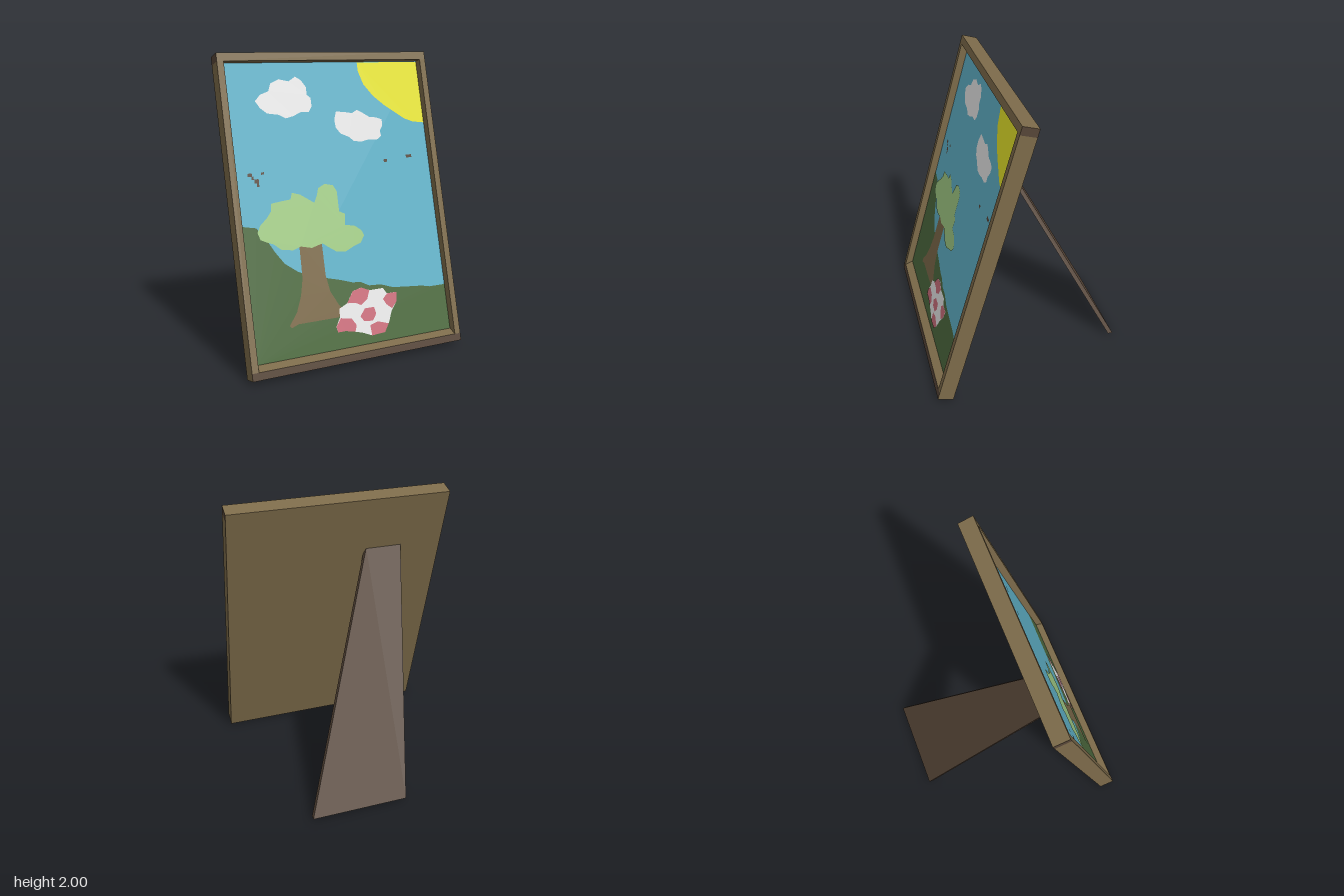
import * as THREE from 'three';

const mat = (name, color) => {
  const m = new THREE.MeshStandardMaterial({ color });
  m.name = name;
  return m;
};

export function createModel() {
  const wood = mat('oliveWood', 0x7d6b4a);
  const brown = mat('darkBrown', 0x574638);
  const sky = mat('skyBlue', 0x60b2c9);
  const white = mat('cloudWhite', 0xf8f8f8);
  const yellow = mat('sunYellow', 0xe6e42a);
  const grass = mat('grassGreen', 0x4d6b3f);
  const leaf = mat('leafGreen', 0xa2cc86);
  const pink = mat('blanketPink', 0xcc6f7c);

  const model = new THREE.Group();
  model.name = 'pictureStand';

  // Leaning frame: local origin is the bottom back edge
  const LEAN = 0.283, W = 0.77, H = 2.05, D = 0.11, PANEL = 0.058;
  const IN = 0.725, BOTTOM = 0.049, TOP = H - 0.055;
  const frame = new THREE.Group();
  frame.name = 'frame';
  frame.rotation.x = -LEAN;
  frame.position.z = 0.595;
  model.add(frame);

  const add = (name, geometry, material, parent = frame) => {
    const mesh = new THREE.Mesh(geometry, material);
    mesh.name = name;
    parent.add(mesh);
    return mesh;
  };
  const block = (name, x0, x1, y0, y1, depth, material) => {
    const mesh = add(name, new THREE.BoxGeometry(x1 - x0, y1 - y0, depth), material);
    mesh.position.set((x0 + x1) / 2, (y0 + y1) / 2, depth / 2);
  };

  // Rails and backing panel; face order is +x, -x, +y, -y, +z, -z
  block('topRail', -W, W, TOP, H, D, [brown, brown, wood, wood, wood, wood]);
  block('bottomRail', -W, W, 0, BOTTOM, D, [wood, wood, wood, wood, brown, wood]);
  block('leftRail', IN, W, BOTTOM, TOP, D, wood);
  block('rightRail', -W, -IN, BOTTOM, TOP, D, wood);
  block('backPanel', -IN, IN, BOTTOM, TOP, PANEL, [wood, wood, wood, wood, sky, wood]);

  // Sloping sill from the bottom rail up to the picture
  const sillShape = new THREE.Shape([
    new THREE.Vector2(-D, BOTTOM), new THREE.Vector2(-PANEL, BOTTOM), new THREE.Vector2(-PANEL, 0.087),
  ]);
  const sill = add('sill', new THREE.ExtrudeGeometry(sillShape, { depth: 2 * IN, bevelEnabled: false }), wood);
  sill.rotation.y = Math.PI / 2;
  sill.position.x = -IN;

  // Painted pieces: flat outlines given as upright x, y pairs, laid on the panel
  const paint = (name, layer, material, pts) => {
    const shape = new THREE.Shape();
    for (let i = 0; i < pts.length; i += 2) {
      const y = (pts[i + 1] - PANEL * Math.sin(LEAN)) / Math.cos(LEAN);
      if (i) shape.lineTo(pts[i], y); else shape.moveTo(pts[i], y);
    }
    add(name, new THREE.ShapeGeometry(shape), material).position.z = PANEL + layer * 0.0015;
  };

  paint('hill', 1, grass, [-.724, .93, -.62, .91, -.56, .835, -.51, .75, -.455, .675, -.37, .615, -.28, .575,
    -.17, .55, -.07, .525, .01, .5, .07, .495, .13, .465, .22, .46, .31, .43, .42, .42, .54, .41, .6, .397,
    .724, .397, .724, .09, -.724, .09]);
  paint('sun', 1, yellow, [.245, 1.927, .245, 1.87, .275, 1.78, .34, 1.7, .42, 1.635, .51, 1.577, .565, 1.54,
    .635, 1.515, .724, 1.505, .724, 1.927]);
  paint('leftCloud', 1, white, [-.53, 1.69, -.49, 1.73, -.43, 1.75, -.41, 1.8, -.35, 1.825, -.28, 1.81,
    -.23, 1.84, -.19, 1.815, -.16, 1.77, -.16, 1.72, -.135, 1.7, -.135, 1.645, -.16, 1.61, -.22, 1.61,
    -.275, 1.587, -.33, 1.575, -.38, 1.6, -.455, 1.61, -.5, 1.645]);
  paint('rightCloud', 1, white, [.02, 1.55, .04, 1.605, .1, 1.6, .16, 1.59, .2, 1.61, .24, 1.59, .29, 1.56,
    .34, 1.555, .385, 1.54, .385, 1.5, .36, 1.465, .365, 1.43, .33, 1.407, .26, 1.41, .21, 1.4, .15, 1.405,
    .115, 1.435, .055, 1.46, .025, 1.5]);
  paint('treeTrunk', 2, wood, [-.34, .8, -.345, .57, -.37, .465, -.41, .37, -.47, .295, -.455, .28, -.41, .297,
    -.12, .297, -.09, .35, -.11, .375, -.16, .465, -.18, .57, -.18, .8]);
  paint('treeCrown', 3, leaf, [-.615, .88, -.59, .925, -.545, .96, -.51, 1, -.5, 1.05, -.42, 1.06, -.365, 1.065,
    -.35, 1.105, -.295, 1.09, -.255, 1.065, -.2, 1.03, -.175, 1.075, -.16, 1.12, -.11, 1.143, -.05, 1.13,
    -.027, 1.09, -.027, .96, .015, .94, .005, .87, .075, .857, .12, .825, .138, .79, .105, .745, .055, .73,
    -.015, .7, -.085, .71, -.14, .745, -.175, .77, -.255, .75, -.33, .767, -.385, .75, -.465, .76,
    -.515, .8, -.555, .815, -.6, .835]);
  paint('blanket', 3, white, [-.148, .24, -.115, .295, -.11, .35, -.05, .375, 0, .445, .065, .46, .127, .435,
    .23, .435, .255, .397, .33, .397, .32, .335, .275, .28, .245, .21, .205, .153, .105, .148, .04, .175,
    -.015, .19, -.085, .205, -.14, .205]);

  // Blanket checks
  [
    [-.05, .375, 0, .445, .065, .46, .125, .435, .1, .38, .05, .35, .01, .37],
    [.22, .365, .255, .397, .33, .397, .32, .335, .28, .297, .24, .33],
    [.035, .28, .075, .325, .145, .325, .155, .28, .125, .24, .06, .245],
    [-.148, .24, -.11, .29, -.03, .275, 0, .23, -.015, .19, -.085, .205, -.14, .205],
    [.1, .215, .16, .23, .24, .205, .205, .153, .105, .148],
  ].forEach((pts) => paint('blanketCheck', 4, pink, pts));

  // Distant birds: centre x, y, width, height
  [
    [-.622, 1.235, .03, .02], [-.605, 1.215, .015, .02], [-.58, 1.195, .03, .025], [-.573, 1.172, .015, .025],
    [-.535, 1.24, .02, .015], [.375, 1.263, .027, .018], [.565, 1.283, .045, .02],
  ].forEach(([x, y, w, h]) => paint('bird', 1, brown,
    [x - w / 2, y - h / 2, x + w / 2, y - h / 2, x + w / 2, y + h / 2, x - w / 2, y + h / 2]));

  // Rear leg: a skewed trapezoid, sheared so it slopes away from the frame
  const legShape = new THREE.Shape([
    new THREE.Vector2(-.23, .01), new THREE.Vector2(.45, .01),
    new THREE.Vector2(-.21, 1.585), new THREE.Vector2(-.467, 1.585),
  ]);
  const legGeometry = new THREE.ExtrudeGeometry(legShape, { depth: 0.035, bevelEnabled: false });
  const p = legGeometry.attributes.position;
  for (let i = 0; i < p.count; i++) p.setZ(i, p.getZ(i) - 0.697 + (p.getY(i) - 0.01) * 0.53);
  legGeometry.computeVertexNormals();
  add('rearLeg', legGeometry, brown, model);

  return model;
}
